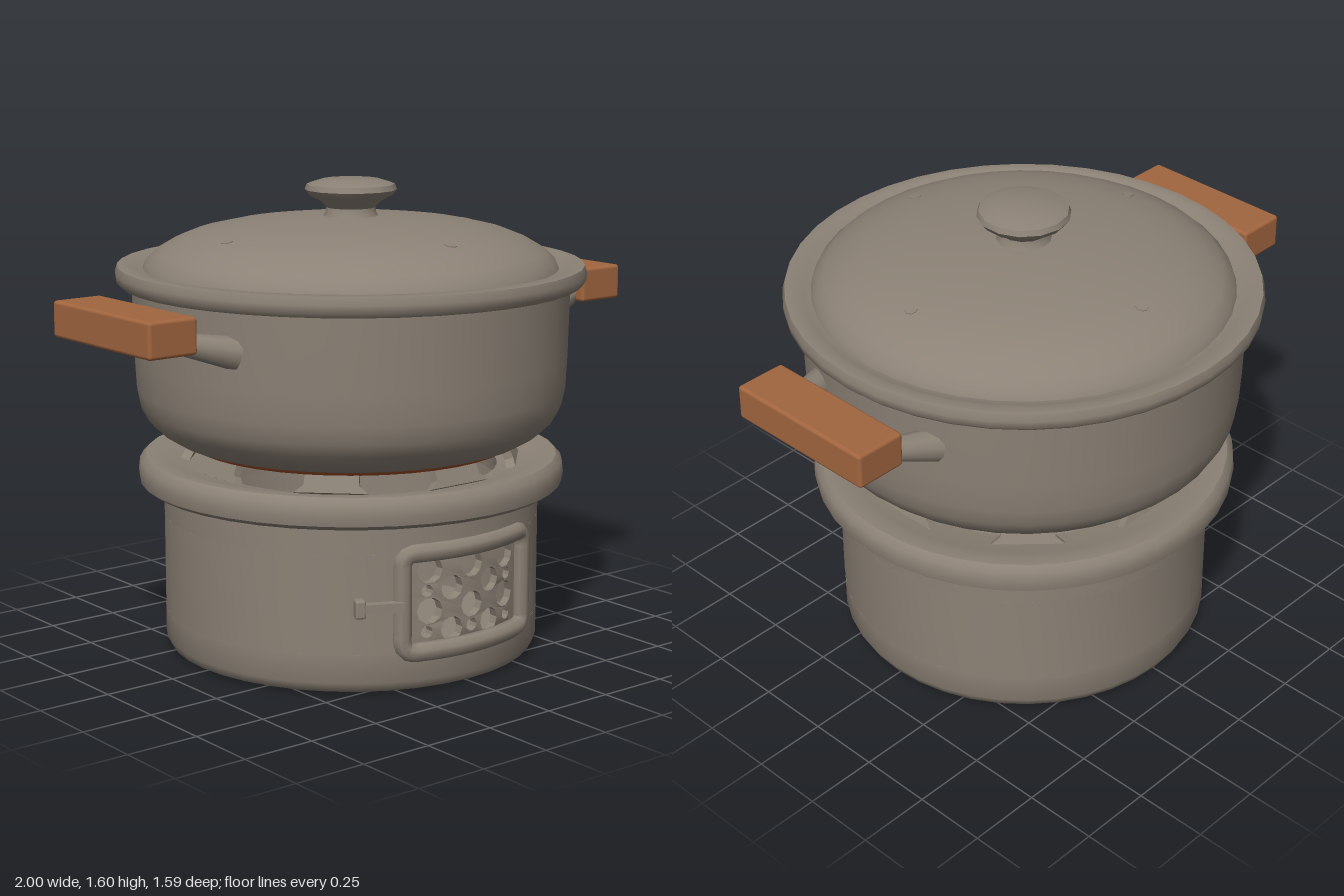
import * as THREE from 'three';
import { toCreasedNormals } from 'three/addons/utils/BufferGeometryUtils.js';
import { RoundedBoxGeometry } from 'three/addons/geometries/RoundedBoxGeometry.js';

const mat = (name, color) => Object.assign(new THREE.MeshStandardMaterial({ color }), { name });

export function createModel() {
  const group = new THREE.Group();
  const clay = mat('clay grey', 0x8c8276);
  const wood = mat('handle wood', 0xa2663f);
  const copper = mat('copper', 0xa8532b);

  const add = (name, geometry, material = clay, parent = group) => {
    const mesh = new THREE.Mesh(geometry, material);
    mesh.name = name;
    parent.add(mesh);
    return mesh;
  };
  const lathe = (pts, segments = 40, start = 0, length = Math.PI * 2) =>
    toCreasedNormals(new THREE.LatheGeometry(
      pts.map(p => new THREE.Vector2(...p)), segments, start, length), 0.75);

  // Stove body: base, wall with a front opening, and top with rim
  const gap = 0.375;
  add('stoveBase', lathe([[0, 0], [0.6, 0], [0.625, 0.01], [0.64, 0.04], [0.64, 0.135],
    [0.6, 0.135], [0.6, 0.04], [0, 0.04]]));
  add('stoveWall', lathe([[0.64, 0.135], [0.64, 0.465], [0.6, 0.465], [0.6, 0.135], [0.64, 0.135]],
    36, gap, Math.PI * 2 - gap * 2));
  add('stoveTop', lathe([[0.6, 0.465], [0.64, 0.465], [0.64, 0.565], [0.7, 0.565], [0.72, 0.58],
    [0.725, 0.61], [0.72, 0.65], [0.7, 0.67], [0.66, 0.67], [0.62, 0.655], [0.5, 0.63],
    [0.5, 0.57], [0.6, 0.55], [0.6, 0.465]]));

  // Fire door, wrapped around the stove wall
  const door = new THREE.Group();
  door.name = 'fireDoor';
  group.add(door);
  const bendZ = (x, r) => Math.sqrt(r * r - x * x);
  const roundedRect = (x, y, hw, hh, r) => {
    const s = new THREE.Shape();
    s.absarc(x + hw - r, y + hh - r, r, 0, Math.PI / 2);
    s.absarc(x - hw + r, y + hh - r, r, Math.PI / 2, Math.PI);
    s.absarc(x - hw + r, y - hh + r, r, Math.PI, Math.PI * 1.5);
    s.absarc(x + hw - r, y - hh + r, r, Math.PI * 1.5, Math.PI * 2);
    s.closePath();
    return s;
  };
  const path = roundedRect(0, 0.3, 0.255, 0.165, 0.035).getSpacedPoints(60).slice(0, -1)
    .map(p => new THREE.Vector3(p.x, p.y, bendZ(p.x, 0.635)));
  add('doorFrame', new THREE.TubeGeometry(new THREE.CatmullRomCurve3(path, true), 90, 0.032, 8, true), clay, door);

  const plate = new THREE.Shape(roundedRect(0, 0.3, 0.24, 0.165, 0.02).getSpacedPoints(50).slice(0, -1));
  const punch = (x, y, r) => {
    const hole = new THREE.Path();
    hole.absarc(x, y, r, 0, Math.PI * 2, true);
    plate.holes.push(hole);
  };
  for (const y of [0.4, 0.265]) for (const x of [-0.16, 0, 0.16]) punch(x, y, 0.044);
  for (const y of [0.333, 0.195]) for (const x of [-0.08, 0.08]) punch(x, y, 0.041);
  for (const y of [0.333, 0.195]) for (const x of [-0.17, 0.17]) punch(x, y, 0.02);
  punch(0, 0.195, 0.022);
  const grille = new THREE.ExtrudeGeometry(plate, { depth: 0.03, bevelEnabled: false, curveSegments: 5 });
  const pos = grille.attributes.position;
  for (let i = 0; i < pos.count; i++) pos.setZ(i, pos.getZ(i) + bendZ(pos.getX(i), 0.6));
  grille.computeVertexNormals();
  add('doorGrille', toCreasedNormals(grille, 0.6), clay, door);

  // Latch beside the door
  const bar = add('latchBar', new THREE.BoxGeometry(0.14, 0.03, 0.03), clay, door);
  bar.position.set(-0.33, 0.3, 0.575);
  bar.rotation.y = -0.45;
  const grip = add('latchGrip', new RoundedBoxGeometry(0.035, 0.062, 0.04, 2, 0.008), clay, door);
  grip.position.set(-0.395, 0.3, 0.54);
  grip.rotation.y = -0.45;

  // Eight wedge-shaped pot supports around the stove opening
  const wedge = new THREE.Shape([[-0.12, 0], [0.12, 0], [0.09, 0.025], [0.085, 0.075], [-0.085, 0.075], [-0.09, 0.025]]
    .map(p => new THREE.Vector2(...p)));
  for (let i = 0; i < 8; i++) {
    const pivot = new THREE.Group();
    pivot.name = 'potSupport';
    pivot.rotation.y = i * Math.PI / 4;
    group.add(pivot);
    const foot = add('supportWedge', new THREE.ExtrudeGeometry(wedge, { depth: 0.03, bevelEnabled: false }), clay, pivot);
    foot.position.set(0, 0.64, 0.54);
    foot.rotation.x = -0.4;
  }

  // Pot with copper underside
  add('potBottom', lathe([[0, 0.695], [0.5, 0.695], [0.55, 0.705], [0.6, 0.735]]), copper);
  add('potBody', lathe([[0.55, 0.712], [0.6, 0.728], [0.65, 0.757], [0.69, 0.795], [0.715, 0.84], [0.727, 0.9],
    [0.732, 1], [0.738, 1.25], [0.775, 1.25], [0.79, 1.265], [0.793, 1.29], [0.785, 1.315],
    [0.745, 1.318], [0.725, 1.305], [0.68, 1.3]]));

  // Domed lid, steam holes and knob
  add('lid', lathe([[0.7, 1.3], [0.69, 1.325], [0.655, 1.358], [0.6, 1.39], [0.53, 1.418], [0.42, 1.443],
    [0.28, 1.461], [0.14, 1.471], [0, 1.474]]));
  for (let i = 0; i < 4; i++) {
    const a = i * Math.PI / 2;
    const vent = add('steamHole', new THREE.CylinderGeometry(0.02, 0.02, 0.01, 8));
    vent.position.set(Math.cos(a) * 0.51, 1.42, Math.sin(a) * 0.51);
    vent.rotation.set(Math.sin(a) * 0.2, 0, -Math.cos(a) * 0.2);
  }
  add('lidKnob', lathe([[0.095, 1.465], [0.085, 1.485], [0.082, 1.5], [0.1, 1.52], [0.14, 1.54],
    [0.155, 1.56], [0.148, 1.578], [0.1, 1.593], [0, 1.597]], 14));

  // Side handles: wooden grip on two splayed brackets
  for (const s of [-1, 1]) {
    const handle = new THREE.Group();
    handle.name = s > 0 ? 'leftHandle' : 'rightHandle';
    group.add(handle);
    add('handleGrip', new RoundedBoxGeometry(0.18, 0.12, 0.555, 2, 0.012), wood, handle)
      .position.set(s * 0.91, 1.188, 0);
    for (const t of [-1, 1]) {
      const from = new THREE.Vector3(s * 0.66, 1.112, t * 0.255);
      const to = new THREE.Vector3(s * 0.86, 1.16, t * 0.195);
      const bracket = add('handleBracket',
        new THREE.CylinderGeometry(0.032, 0.055, from.distanceTo(to), 10), clay, handle);
      bracket.position.copy(from).lerp(to, 0.5);
      bracket.quaternion.setFromUnitVectors(new THREE.Vector3(0, 1, 0), to.sub(from).normalize());
    }
  }
  return group;
}
